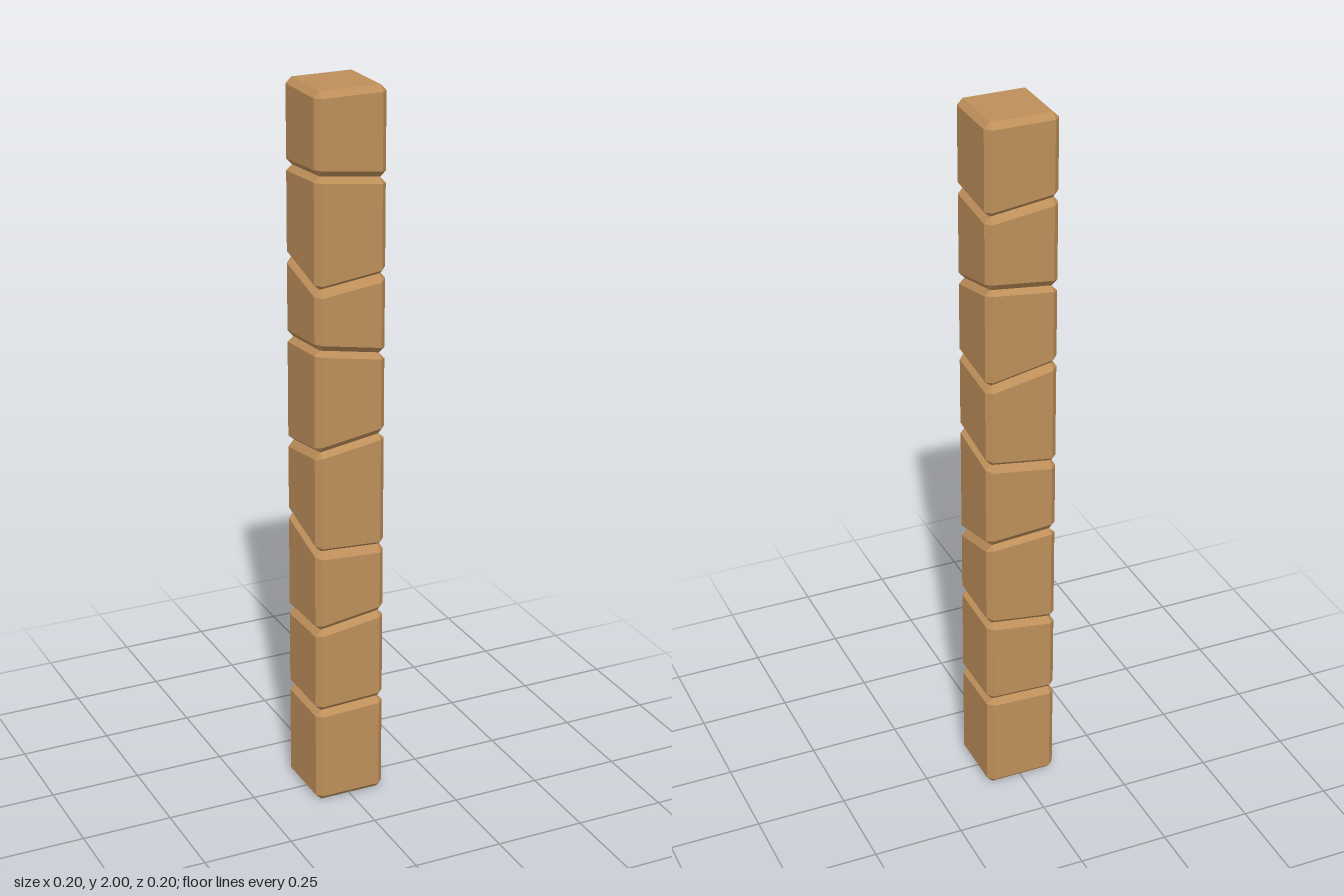
import * as THREE from 'three';

const HALF = 0.1, BEVEL = 0.016, INNER = HALF - BEVEL;

// Chamfered square outline, counter-clockwise from above
const OUTLINE = [
  [INNER, HALF], [HALF, INNER], [HALF, -INNER], [INNER, -HALF],
  [-INNER, -HALF], [-HALF, -INNER], [-HALF, INNER], [-INNER, HALF],
];

// Slanted joint planes: heights at the front left-hand, front right-hand and rear right-hand corners
const JOINTS = [
  [0, 0, 0],
  [0.278, 0.286, 0.289],
  [0.522, 0.55, 0.544],
  [0.753, 0.74, 0.795],
  [1.04, 1.07, 1.04],
  [1.327, 1.29, 1.272],
  [1.481, 1.505, 1.555],
  [1.787, 1.762, 1.748],
  [2, 2, 2],
];

function heightAt([frontMinus, frontPlus, backPlus], x, z) {
  return frontPlus + (frontPlus - frontMinus) * (x - HALF) / (2 * HALF)
    + (frontPlus - backPlus) * (z - HALF) / (2 * HALF);
}

// One ring of a block; cap rings shrink to the inner square
function ring(joint, offset, cap) {
  return OUTLINE.map(([px, pz]) => {
    const x = cap ? Math.sign(px) * INNER : px;
    const z = cap ? Math.sign(pz) * INNER : pz;
    return new THREE.Vector3(x, heightAt(joint, x, z) + offset, z);
  });
}

function blockGeometry(lower, upper) {
  const points = [];
  const tri = (a, b, c) => {
    if (!a.equals(b) && !b.equals(c) && !a.equals(c)) points.push(a, b, c);
  };
  const rings = [
    ring(lower, 0, true), ring(lower, BEVEL, false),
    ring(upper, -BEVEL, false), ring(upper, 0, true),
  ];
  // Lower bevel, walls and upper bevel
  for (let r = 0; r < 3; r++) {
    const a = rings[r], b = rings[r + 1];
    for (let i = 0; i < 8; i++) {
      const j = (i + 1) % 8;
      tri(a[i], a[j], b[j]);
      tri(a[i], b[j], b[i]);
    }
  }
  // End faces
  for (let i = 1; i < 7; i++) {
    tri(rings[3][0], rings[3][i], rings[3][i + 1]);
    tri(rings[0][0], rings[0][i + 1], rings[0][i]);
  }
  const geometry = new THREE.BufferGeometry().setFromPoints(points);
  geometry.computeVertexNormals();
  return geometry;
}

export function createModel() {
  const model = new THREE.Group();
  model.name = 'blockPillar';
  const sandstone = new THREE.MeshStandardMaterial({ color: 0xbe8f5a });
  sandstone.name = 'sandstone';

  // Stacked bevelled blocks
  for (let i = 0; i < JOINTS.length - 1; i++) {
    const block = new THREE.Mesh(blockGeometry(JOINTS[i], JOINTS[i + 1]), sandstone);
    block.name = `block${i + 1}`;
    model.add(block);
  }
  return model;
}
